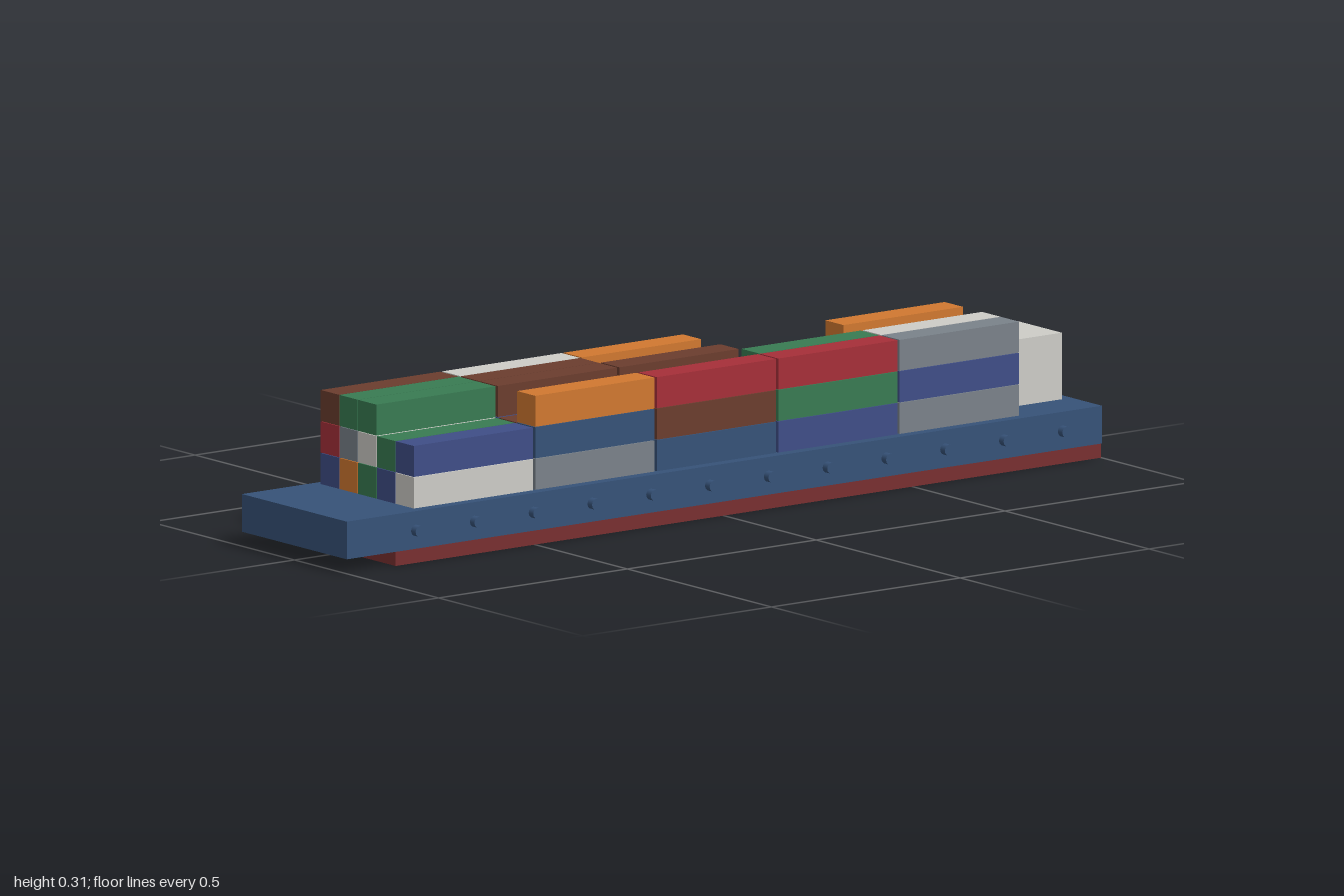
import * as THREE from 'three';

const paint = (name, color) => {
  const m = new THREE.MeshStandardMaterial({ color });
  m.name = name;
  return m;
};

export function createModel() {
  const ship = new THREE.Group();
  ship.name = 'containerShip';

  const M = {
    H: paint('hullBlue', 0x365278),
    K: paint('keelRed', 0x782f30),
    N: paint('brown', 0x6b3d2e),
    G: paint('green', 0x387b52),
    O: paint('orange', 0xd07830),
    B: paint('blue', 0x3f4e87),
    R: paint('red', 0xa62f39),
    S: paint('grey', 0x7a828a),
    W: paint('offWhite', 0xcdccc7),
    T: paint('teal', 0x116b69),
  };

  const add = (parent, name, geometry, material, x, y, z) => {
    const mesh = new THREE.Mesh(geometry, material);
    mesh.name = name;
    mesh.position.set(x, y, z);
    parent.add(mesh);
    return mesh;
  };
  const box = (w, h, d) => new THREE.BoxGeometry(w, h, d);

  // Hull and the shorter keel below it
  const deckY = 0.112, hullBottom = 0.031;
  add(ship, 'hull', box(0.364, deckY - hullBottom, 2), M.H, 0, (deckY + hullBottom) / 2, 0);
  add(ship, 'keel', box(0.359, 0.036, 1.868), M.K, 0, 0.018, -0.065);

  // Round fittings along both sides
  const fittings = new THREE.Group();
  fittings.name = 'sideFittings';
  ship.add(fittings);
  const fittingShape = new THREE.CylinderGeometry(0.012, 0.012, 0.036, 12).rotateZ(Math.PI / 2);
  for (const side of [-1, 1]) {
    for (let i = 0; i < 12; i++) {
      add(fittings, 'sideFitting', fittingShape, M.H, side * 0.18, 0.071, 0.818 - i * 0.1557);
    }
  }

  // Bridge at the stern with a window band facing the bow
  add(ship, 'bridge', box(0.155, 0.143, 0.154), M.W, -0.001, deckY + 0.0715, -0.897);
  add(ship, 'bridgeWindow', box(0.13, 0.026, 0.006), M.B, -0.001, 0.228, -0.818);

  // Cargo: rows from bow to stern, stacks from -x to +x, each listed bottom to top
  const cargo = [
    ['BRN', 'OSG', 'GWG', 'BG', 'WB'],
    ['BTW', 'SGN', 'RBN', 'SN', 'SHO'],
    ['SOO', 'BG', 'GON', 'RO', 'HNR'],
    ['BT', 'NG', 'R', 'OSG', 'BGR'],
    ['NB', 'SGO', 'BO', 'GBW', 'SBS'],
  ];
  const tier = 0.0677;
  const containerShape = box(0.063, 0.0667, 0.316);
  cargo.forEach((row, r) => {
    const bay = new THREE.Group();
    bay.name = 'containerBay';
    ship.add(bay);
    row.forEach((stack, c) => {
      [...stack].forEach((key, t) => {
        add(bay, 'container', containerShape, M[key],
          (c - 2) * 0.065, deckY + 0.0342 + t * tier, 0.649 - r * 0.3217);
      });
    });
  });

  return ship;
}
